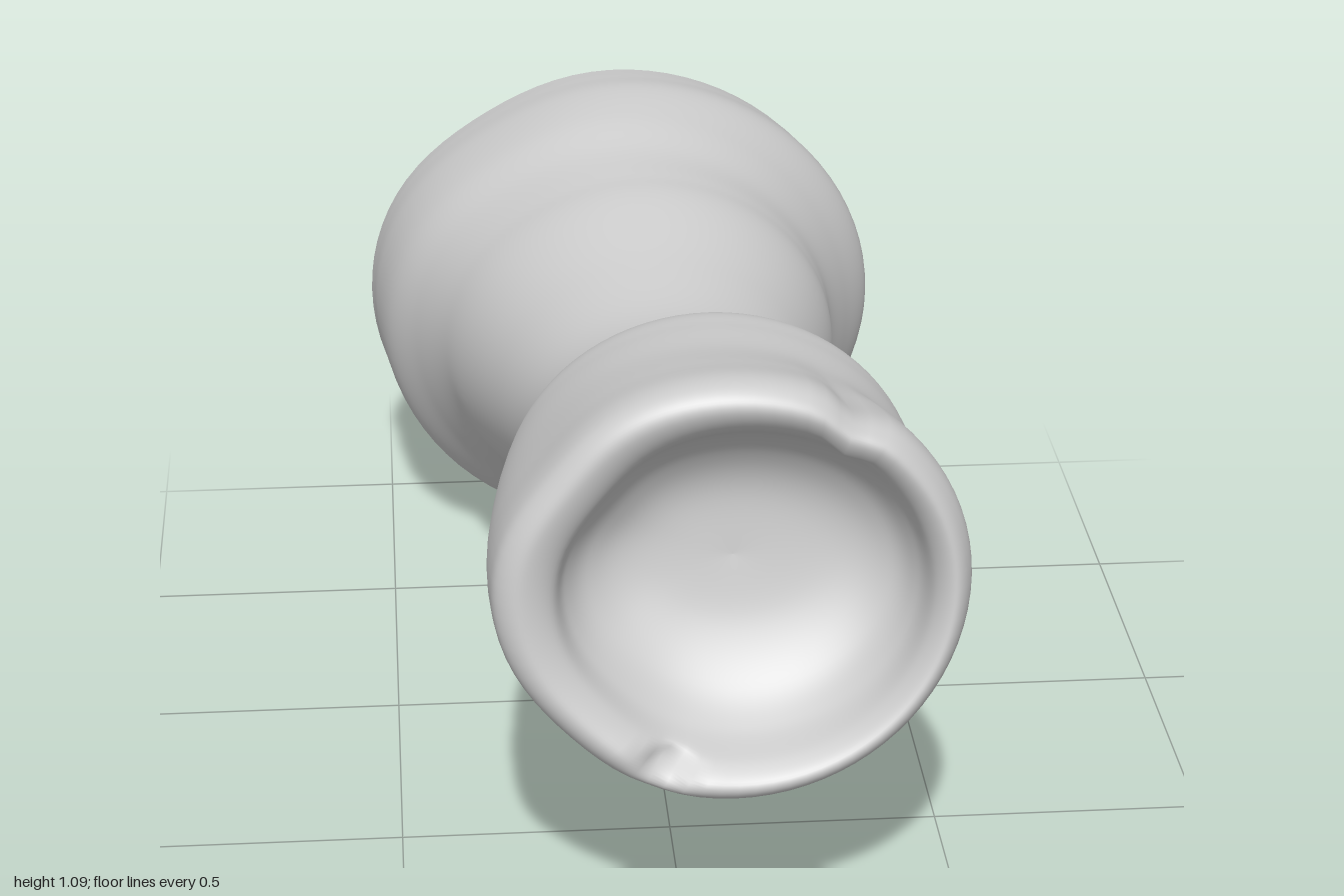
import * as THREE from 'three';

const AROUND = 80, ALONG = 160;

// Cross-sections from the base to the cup floor: z, xMin, xMax, yMin, yMax, tilt (dz per dy)
const SECTIONS = [
  [-0.985, -0.53, 0.51, 0.00, 0.965, -0.03],
  [-0.92, -0.525, 0.52, 0.024, 0.975, -0.02],
  [-0.83, -0.518, 0.525, 0.03, 0.985, -0.01],
  [-0.71, -0.495, 0.47, 0.045, 0.968, 0],
  [-0.60, -0.44, 0.425, 0.135, 0.935, 0],
  [-0.50, -0.393, 0.41, 0.195, 0.92, 0],
  [-0.40, -0.358, 0.40, 0.22, 0.908, 0],
  [-0.20, -0.285, 0.345, 0.29, 0.858, 0],
  [0.00, -0.225, 0.30, 0.375, 0.83, 0],
  [0.15, -0.22, 0.312, 0.398, 0.855, 0],
  [0.30, -0.255, 0.383, 0.368, 0.943, 0],
  [0.41, -0.292, 0.442, 0.32, 1.01, 0],
  [0.50, -0.315, 0.455, 0.30, 1.025, 0],
  [0.62, -0.33, 0.447, 0.325, 1.037, 0],
  [0.75, -0.34, 0.475, 0.335, 1.065, -0.02],
  [0.86, -0.34, 0.487, 0.335, 1.09, -0.07],
  [0.915, -0.33, 0.475, 0.345, 1.08, -0.10],  // outer lip
  [0.938, -0.29, 0.45, 0.375, 1.05, -0.115],  // lip crest
  [0.91, -0.235, 0.42, 0.405, 1.005, -0.12],  // inner lip
  [0.84, -0.21, 0.40, 0.43, 0.96, -0.15],
  [0.78, -0.165, 0.36, 0.48, 0.895, -0.18],
  [0.74, -0.08, 0.27, 0.57, 0.81, -0.20],     // cup floor
  [0.73, 0.09, 0.09, 0.69, 0.69, -0.20],
];
const LIP = 17 / (SECTIONS.length - 1);

const centres = new THREE.CatmullRomCurve3(SECTIONS.map(([z, x0, x1, y0, y1]) =>
  new THREE.Vector3((x0 + x1) / 2, (y0 + y1) / 2, z)), false, 'catmullrom', 0.5);
const radii = new THREE.CatmullRomCurve3(SECTIONS.map(([, x0, x1, y0, y1, tilt]) =>
  new THREE.Vector3((x1 - x0) / 2, (y1 - y0) / 2, tilt)), false, 'catmullrom', 0.5);

const bell = (v, mid, width) => Math.exp(-(((v - mid) / width) ** 2));
const { smoothstep } = THREE.MathUtils;

// One point of the wall at t along the body and angle a around it
function wallPoint(t, a) {
  const c = centres.getPoint(t), r = radii.getPoint(t);
  // Groove over the top of the cup, and the flatter left flanks of cup and base
  const groove = 0.065 * bell(a, 1.02, 0.11) * bell(c.z, 0.85, 0.15) * (t > 0.5 && t < 0.81 ? 1 : 0);
  const flanks = (0.05 * bell(a, 2.5, 0.35) + 0.03 * bell(a, 3.9, 0.35)) * smoothstep(t, 0.5, 0.65);
  const baseFlank = 0.035 * bell(a, 2.15, 0.4) * (1 - smoothstep(t, 0.15, 0.35));
  // Small chip in the lip, and the slight curve of the lip seen from the side
  const chip = bell(a, 4.34, 0.1) * bell(t, LIP + 0.015, 0.04);
  const k = 1 - groove - flanks - baseFlank;
  const dy = r.y * k * Math.sin(a);
  const bend = 0.2 * dy * dy * smoothstep(t, 0.62, 0.72);
  return [
    c.x + r.x * k * Math.cos(a),
    c.y + dy,
    c.z + r.z * dy + bend - 0.05 * chip - 0.01 * Math.cos(a) * bell(t, 0, 0.03),
  ];
}

function ring(t) {
  return Array.from({ length: AROUND }, (_, i) => wallPoint(t, (i / AROUND) * Math.PI * 2));
}

function toGeometry(points, index) {
  const g = new THREE.BufferGeometry();
  g.setAttribute('position', new THREE.Float32BufferAttribute(points.flat(), 3));
  g.setIndex(index);
  g.computeVertexNormals();
  return g;
}

// Closed tube of rings, running up the outside, over the lip and down into the cup
function bodyGeometry() {
  const points = [], index = [];
  for (let j = 0; j <= ALONG; j++) points.push(...ring(j / ALONG));
  for (let j = 0; j < ALONG; j++) {
    for (let i = 0; i < AROUND; i++) {
      const n = (i + 1) % AROUND;
      const a = j * AROUND + i, b = j * AROUND + n;
      index.push(a, b, a + AROUND, b, b + AROUND, a + AROUND);
    }
  }
  return toGeometry(points, index);
}

// Flat disc closing the wide end
function baseGeometry() {
  const points = [...ring(0), centres.getPoint(0).toArray()], index = [];
  for (let i = 0; i < AROUND; i++) index.push(AROUND, (i + 1) % AROUND, i);
  return toGeometry(points, index);
}

export function createModel() {
  const group = new THREE.Group();
  const material = new THREE.MeshStandardMaterial({ color: 0xcccccc });
  const add = (name, geometry) => {
    const mesh = new THREE.Mesh(geometry, material);
    mesh.name = name;
    group.add(mesh);
  };
  add('cupAndStem', bodyGeometry());
  add('flatBase', baseGeometry());
  return group;
}
